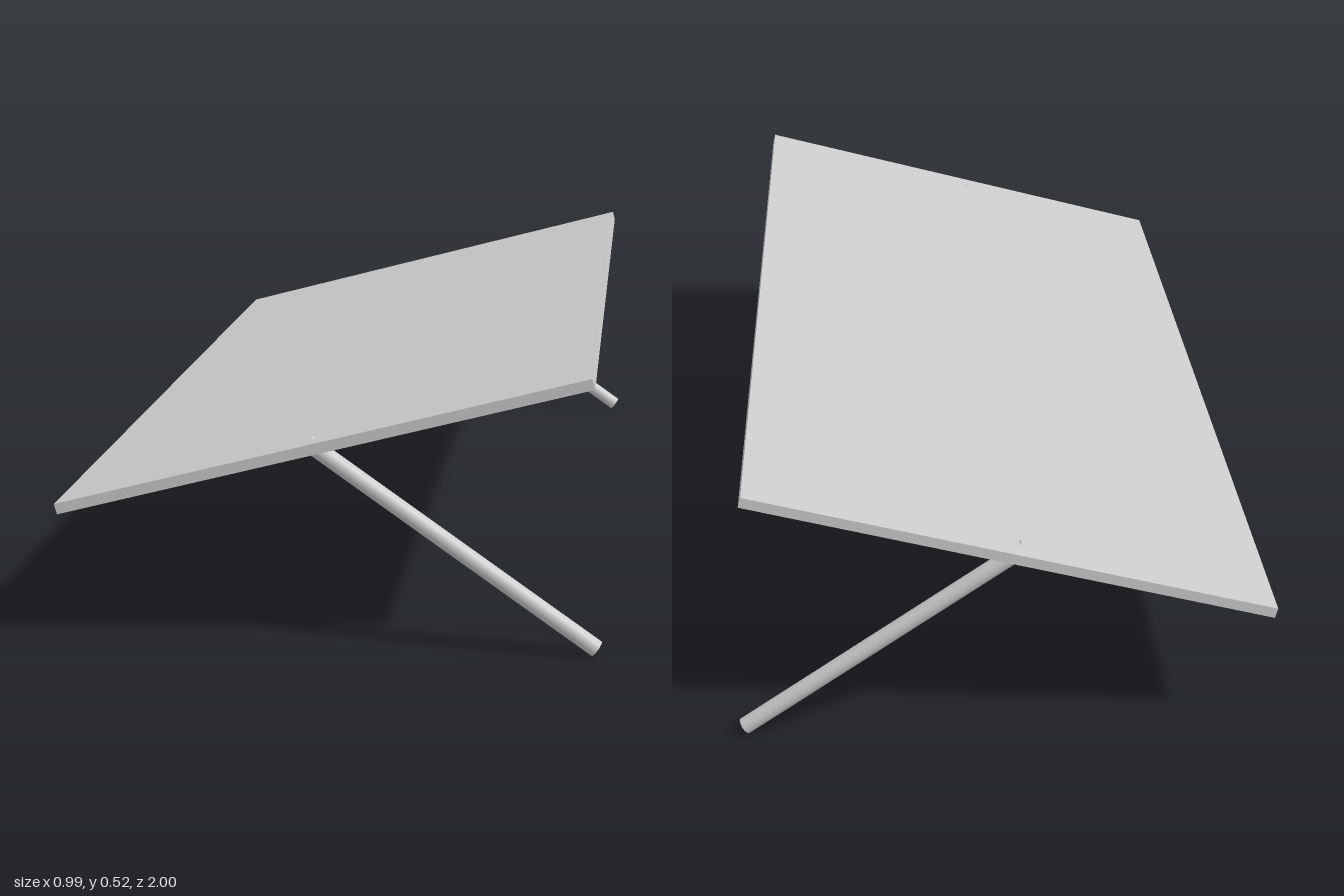
import * as THREE from 'three';

export function createModel() {
  const model = new THREE.Group();
  const material = new THREE.MeshStandardMaterial({ color: 0xcccccc });

  // Thin flat panel, tilted 15 degrees up towards +x
  const panel = new THREE.Mesh(new THREE.BoxGeometry(1, 0.02, 2), material);
  panel.name = 'panel';
  panel.position.set(-0.011, 0.385, 0);
  panel.rotation.z = THREE.MathUtils.degToRad(15);
  model.add(panel);

  // Slanted round legs, poking slightly through the panel near each end
  const top = new THREE.Vector2(-0.037, 0.381);
  const foot = new THREE.Vector2(0.487, 0.0131);
  const legGeometry = new THREE.CylinderGeometry(0.016, 0.016, top.distanceTo(foot), 16);
  for (const [name, z] of [['frontLeg', 0.95], ['backLeg', -0.95]]) {
    const leg = new THREE.Mesh(legGeometry, material);
    leg.name = name;
    leg.position.set((top.x + foot.x) / 2, (top.y + foot.y) / 2, z);
    leg.rotation.z = Math.atan2(top.y - foot.y, top.x - foot.x) - Math.PI / 2;
    model.add(leg);
  }

  return model;
}
